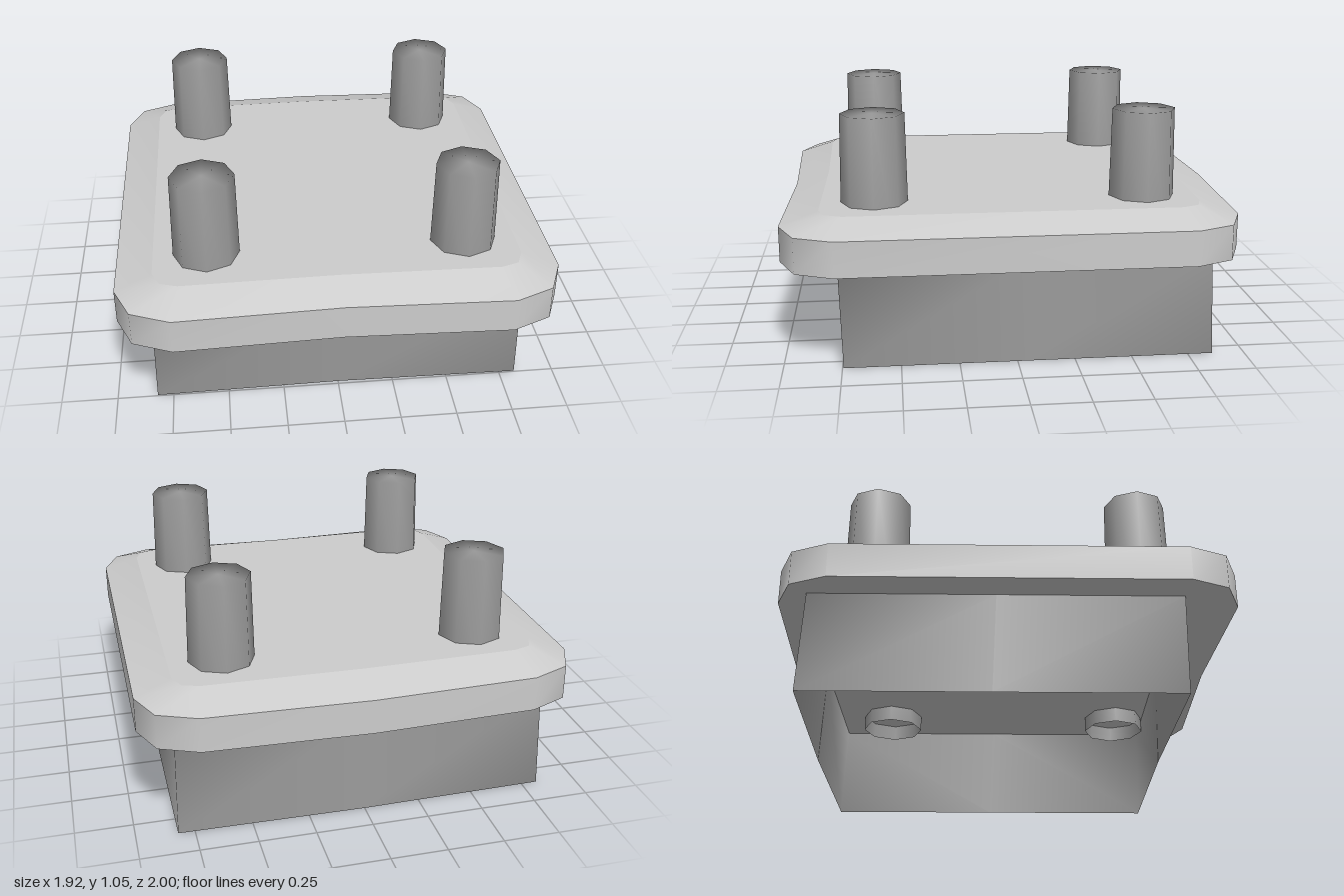
import * as THREE from 'three';
import { mergeVertices, toCreasedNormals } from 'three/addons/utils/BufferGeometryUtils.js';

// Connects closed rings of [x, y, z] points, listed from bottom to top
function loft(rings) {
  const n = rings[0].length, index = [];
  for (let r = 0; r < rings.length - 1; r++) {
    for (let i = 0; i < n; i++) {
      const a = r * n + i, b = r * n + (i + 1) % n;
      index.push(a, b, b + n, a, b + n, a + n);
    }
  }
  const geometry = new THREE.BufferGeometry();
  geometry.setAttribute('position', new THREE.Float32BufferAttribute(rings.flat(2), 3));
  geometry.setIndex(index);
  geometry.computeVertexNormals();
  return geometry;
}

// Mirrors a right-front quarter outline into a full ring whose middle bows back
function ring(quarter, y, bow, shift = 0) {
  const mid = quarter[0][1];
  const right = quarter.map(([x, z]) => [x, y, z + shift]);
  const rightBack = quarter.map(([x, z]) => [x, y, shift - z]).reverse();
  const half = [...right, ...rightBack];
  const left = half.map(([x, py, z]) => [-x, py, z]).reverse();
  return [
    [0, y, mid + shift - bow], ...half,
    [0, y, shift - mid - bow], ...left,
  ];
}

export function createModel() {
  const group = new THREE.Group();
  const lightGray = new THREE.MeshStandardMaterial({ color: 0xcccccc });
  lightGray.name = 'lightGray';
  const darkGray = new THREE.MeshStandardMaterial({ color: 0x999999, side: THREE.DoubleSide });
  darkGray.name = 'darkGray';

  const add = (name, geometry, material, parent = group) => {
    const mesh = new THREE.Mesh(geometry, material);
    mesh.name = name;
    parent.add(mesh);
    return mesh;
  };

  // Plate with clipped corners, bevelled upper edge and flat faces
  const plate = new THREE.Group();
  plate.name = 'plate';
  group.add(plate);
  const outer = [[0.72, 0.987], [0.89, 0.915], [0.96, 0.753]];
  const inner = [[0.69, 0.82], [0.765, 0.795], [0.797, 0.72]];
  const bottom = ring(outer, 0.45, 0.025, 0.012);
  const edge = ring(outer, 0.605, 0.025, 0.012);
  const top = ring(inner, 0.662, 0.012, 0.012);
  const centre = y => bottom.map(() => [0, y, 0]);
  add('plateRim', toCreasedNormals(loft([bottom, edge, top]), 0.8), lightGray, plate);
  add('plateTop', loft([top, centre(0.662)]), lightGray, plate);
  add('plateUnderside', loft([centre(0.45), bottom]), lightGray, plate);

  // Thin skirt, open below, leaning slightly backwards
  const skirtRing = (x, z, y, shift) => {
    const side = [[x, 0, shift]];
    const c = [[x, z], [-x, z], [-x, -z], [x, -z]].map(([px, pz]) => [px, 0, pz + shift]);
    return [
      [0, 0, z + shift - 0.012], c[0], ...side, c[3],
      [0, 0, shift - z - 0.012], c[2], [-x, 0, shift], c[1],
    ].map(p => [p[0], y, p[2]]);
  };
  add('skirt', loft([
    skirtRing(0.822, 0.802, 0, -0.057),
    skirtRing(0.814, 0.799, 0.45, -0.042),
  ]), darkGray);

  // Four tapered eight-sided pegs, open below and reaching through the plate
  const profile = [[0.15, 0.375], [0.138, 1.05], [0, 1.05]].map(p => new THREE.Vector2(...p));
  let pegGeometry = new THREE.LatheGeometry(profile, 8);
  pegGeometry.deleteAttribute('normal');
  pegGeometry.deleteAttribute('uv');
  pegGeometry = mergeVertices(pegGeometry);
  pegGeometry.computeVertexNormals();
  for (const [side, x] of [['Left', 0.565], ['Right', -0.565]]) {
    for (const [end, z] of [['front', 0.598], ['back', -0.577]]) {
      add(`${end}${side}Peg`, pegGeometry, darkGray).position.set(x, 0, z);
    }
  }

  return group;
}
